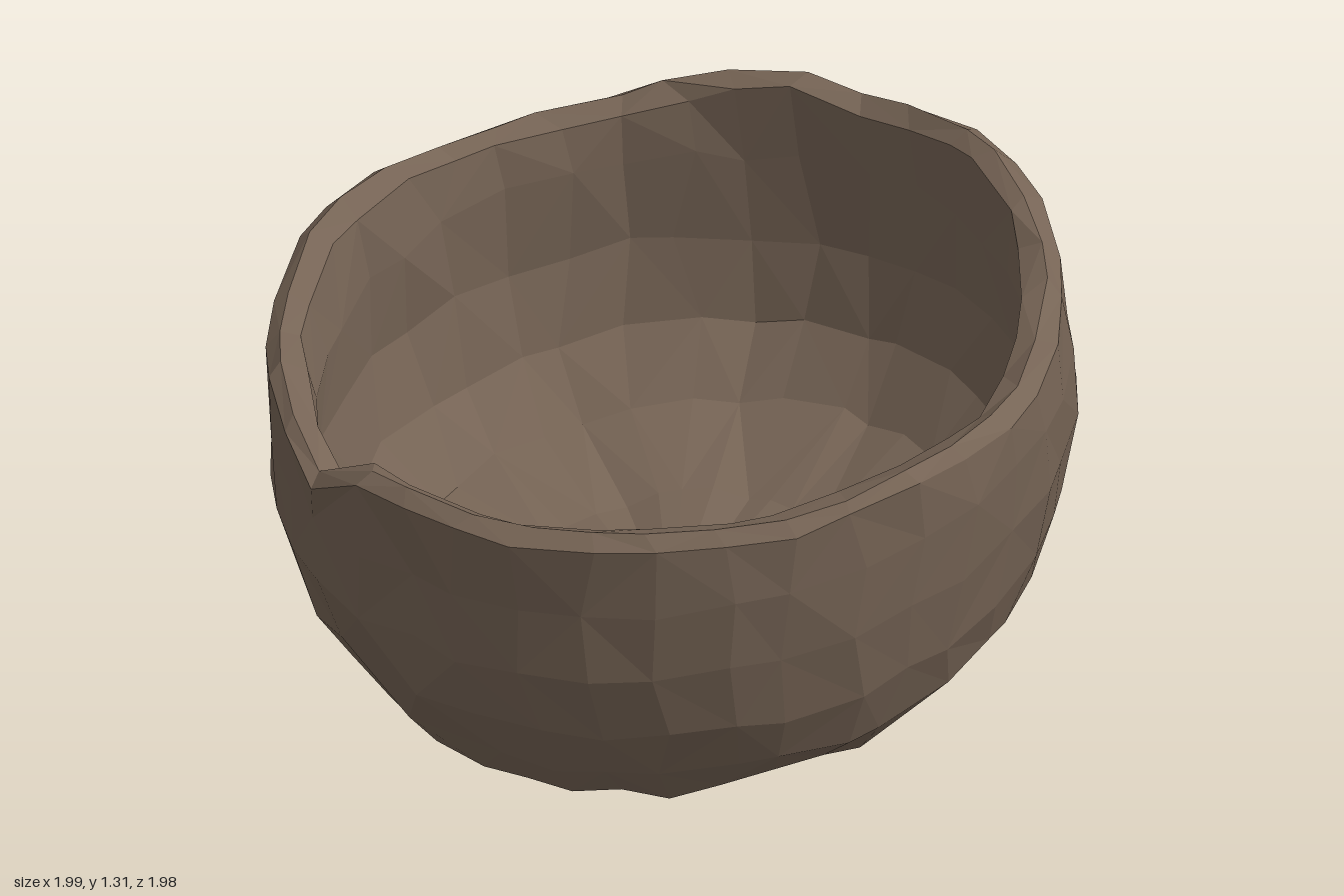
import * as THREE from 'three';

const SEGMENTS = 36;
const TILT = 0.14; // the whole bowl leans towards the front

// Rim height every 10 degrees, from +x round the front (+z)
const RIM = [
  1.12, 1.09, 1.07, 1.06, 1.05, 1.04, 1.03, 1.03, 1.03, 1.02, 0.92, 0.98,
  1.03, 1.03, 1.06, 1.12, 1.13, 1.13, 1.12, 1.13, 1.14, 1.17, 1.21, 1.25,
  1.28, 1.26, 1.28, 1.31, 1.32, 1.29, 1.24, 1.23, 1.18, 1.14, 1.13, 1.13,
];

let seed = 7;
function jitter(amount) {
  seed = (seed * 16807) % 2147483647;
  return (seed / 2147483647 - 0.5) * 2 * amount;
}

// One uneven ring; reach gives its extent to -x, +x, front and back
function ring(height, reach, { rough = 0.012, tilt = TILT, cx = 0, cz = 0 } = {}) {
  const [left, right, front, back] = reach;
  const points = [];
  for (let i = 0; i < SEGMENTS; i++) {
    const a = ((i + jitter(rough * 20)) / SEGMENTS) * Math.PI * 2;
    const c = Math.cos(a), s = Math.sin(a), k = 1 + jitter(rough);
    const x = cx + c * (c > 0 ? right : left) * k;
    const z = cz + s * (s > 0 ? front : back) * k;
    const y = typeof height === 'function' ? height(i) : height - tilt * z + jitter(rough * 1.5);
    points.push(new THREE.Vector3(x, y, z));
  }
  return points;
}

// Faceted skin through a list of rings
function loft(name, rings, material) {
  const positions = [];
  const add = (...pts) => pts.forEach((p) => positions.push(p.x, p.y, p.z));
  for (let j = 0; j < rings.length - 1; j++) {
    for (let i = 0; i < SEGMENTS; i++) {
      const n = (i + 1) % SEGMENTS;
      const p = rings[j][i], q = rings[j][n], r = rings[j + 1][i], t = rings[j + 1][n];
      if ((i * 7 + j * 3) % 5 < 2) {
        add(p, r, q);
        add(q, r, t);
      } else {
        add(p, r, t);
        add(p, t, q);
      }
    }
  }
  const geometry = new THREE.BufferGeometry();
  geometry.setAttribute('position', new THREE.Float32BufferAttribute(positions, 3));
  geometry.computeVertexNormals();
  const mesh = new THREE.Mesh(geometry, material);
  mesh.name = name;
  return mesh;
}

export function createModel() {
  const clay = new THREE.MeshStandardMaterial({ color: 0x766455 });
  clay.name = 'brown clay';

  // Outer wall, from the underside up to the broken edge
  const outer = [
    ring(0.16, [0.4, 0.4, 0.4, 0.5], { rough: 0.004 }),
    ring(0.165, [0.62, 0.56, 0.61, 0.72], { rough: 0.006 }),
    ring(0.25, [0.79, 0.75, 0.71, 0.85]),
    ring(0.37, [0.88, 0.86, 0.79, 0.93]),
    ring(0.53, [0.955, 0.92, 0.89, 0.98]),
    ring(0.73, [0.995, 0.96, 0.95, 1.0], { rough: 0.008 }),
    ring(0.92, [0.99, 0.98, 0.965, 0.97], { rough: 0.008 }),
    ring((i) => RIM[i] - 0.03 + jitter(0.008), [0.98, 0.985, 0.99, 0.93], { rough: 0.008 }),
  ];

  // Small chips knocked out of the front
  const chips = [[-0.1, 0.35, 0.86], [0.08, 0.6, 0.94], [0.2, 0.85, 0.96]];
  for (const [x, y, z] of chips) {
    const chip = new THREE.Vector3(x, y, z);
    const hit = outer.flat().reduce((a, b) => (a.distanceTo(chip) < b.distanceTo(chip) ? a : b));
    hit.z -= 0.03;
  }

  // Uneven lip
  const crest = ring((i) => RIM[i], [0.945, 0.95, 0.95, 0.89], { rough: 0.01 });
  const lip = ring((i) => RIM[i] - 0.025 + jitter(0.01), [0.885, 0.885, 0.9, 0.845]);

  // Hollow inside, down to the floor
  const inner = [
    lip,
    ring(0.95, [0.865, 0.84, 0.86, 0.865]),
    ring(0.72, [0.87, 0.85, 0.85, 0.88]),
    ring(0.51, [0.82, 0.8, 0.79, 0.85]),
    ring(0.37, [0.69, 0.67, 0.65, 0.73]),
    ring(0.29, [0.42, 0.4, 0.4, 0.45], { rough: 0.01 }),
    ring(0.26, [0, 0, 0, 0], { rough: 0 }),
  ];

  // Foot disc under the bowl
  const base = { rough: 0.008, tilt: 0.165, cx: -0.07, cz: -0.15 };
  const flat = { ...base, rough: 0 };
  const foot = [
    ring(0.065, [0, 0, 0, 0], flat),
    ring(0.062, [0.49, 0.46, 0.48, 0.51], { ...base, rough: 0.003 }),
    ring(0.095, [0.56, 0.55, 0.57, 0.56], base),
    ring(0.19, [0.57, 0.56, 0.6, 0.56], base),
  ];

  const bowl = new THREE.Group();
  bowl.name = 'bowl';
  bowl.add(
    loft('outerWall', outer, clay),
    loft('rim', [outer[outer.length - 1], crest, lip], clay),
    loft('innerWall', inner, clay),
    loft('foot', foot, clay),
  );
  return bowl;
}
